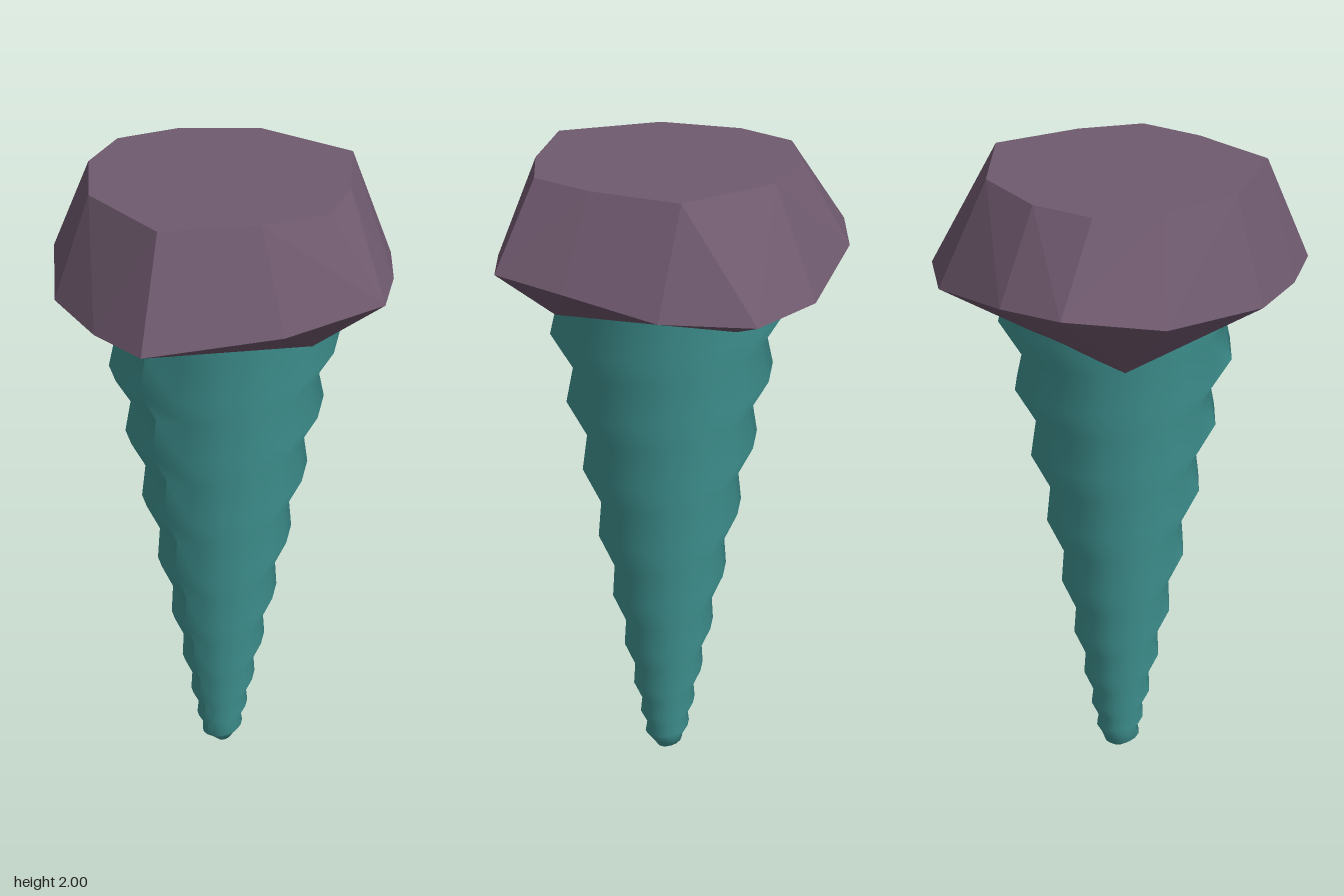
import * as THREE from 'three';
import { ConvexGeometry } from 'three/addons/geometries/ConvexGeometry.js';

const purple = new THREE.MeshStandardMaterial({ color: 0x705a6f });
purple.name = 'dusty purple';
const teal = new THREE.MeshStandardMaterial({ color: 0x429a98, side: THREE.DoubleSide });
teal.name = 'teal';

// Faceted cap: flat top, wide uneven rim, and a tapering underside
function createCap() {
  const top = [
    [-0.02, -0.42], [0.16, -0.35], [0.335, -0.165], [0.38, 0.155], [0.165, 0.33],
    [-0.02, 0.415], [-0.205, 0.33], [-0.43, 0.155], [-0.38, -0.165], [-0.205, -0.35],
  ].map(([x, z]) => [x, 2, z]);
  const rim = [
    [0.04, 1.755, -0.575], [0.23, 1.74, -0.48], [0.47, 1.68, -0.225], [0.55, 1.67, 0.005],
    [0.445, 1.69, 0.26], [0.23, 1.735, 0.445], [0.04, 1.755, 0.57], [-0.235, 1.71, 0.445],
    [-0.555, 1.685, 0.21], [-0.535, 1.68, 0.005], [-0.47, 1.69, -0.225], [-0.235, 1.71, -0.48],
  ];
  const underside = [
    [0.33, 1.575, -0.05], [-0.1, 1.52, -0.36], [-0.4, 1.63, 0], [-0.02, 1.58, 0.36],
  ];
  const points = [...top, ...rim, ...underside].map((p) => new THREE.Vector3(...p));
  const cap = new THREE.Mesh(new ConvexGeometry(points), purple);
  cap.name = 'cap';
  return cap;
}

// Height of the thread on the right-hand side after each full turn
const turns = [0, 0, 0.05, 0.12, 0.22, 0.36, 0.53, 0.74, 0.97, 1.2, 1.42, 1.65, 1.87, 2.1];
function threadHeight(s) {
  const i = Math.min(Math.floor(s), turns.length - 2);
  return Math.min(1.68, THREE.MathUtils.lerp(turns[i], turns[i + 1], s - i));
}

// Tapering shaft: alternating ridge and valley rows that climb as a helix
function createShaft() {
  const sides = 16, rows = 24;
  const positions = [], indices = [];
  for (let k = 0; k <= rows; k++) {
    for (let j = 0; j <= sides; j++) {
      const t = j / sides;
      const y = threadHeight(k / 2 + t);
      const full = k % 2 === 0 ? 0.055 + 0.2 * y : 0.045 + 0.175 * y;
      const r = full * Math.min(1, Math.sqrt(y / 0.05));
      const a = t * Math.PI * 2;
      positions.push(-0.02 - r * Math.cos(a), y + 0.005, r * Math.sin(a));
      if (k < rows && j < sides) {
        const p = k * (sides + 1) + j, q = p + sides + 1;
        indices.push(p, p + 1, q, p + 1, q + 1, q);
      }
    }
  }
  const geometry = new THREE.BufferGeometry();
  geometry.setAttribute('position', new THREE.Float32BufferAttribute(positions, 3));
  geometry.setIndex(indices);
  geometry.computeVertexNormals();
  const shaft = new THREE.Mesh(geometry, teal);
  shaft.name = 'threadedShaft';
  return shaft;
}

export function createModel() {
  const model = new THREE.Group();
  model.name = 'screw';
  model.add(createCap(), createShaft());
  return model;
}
